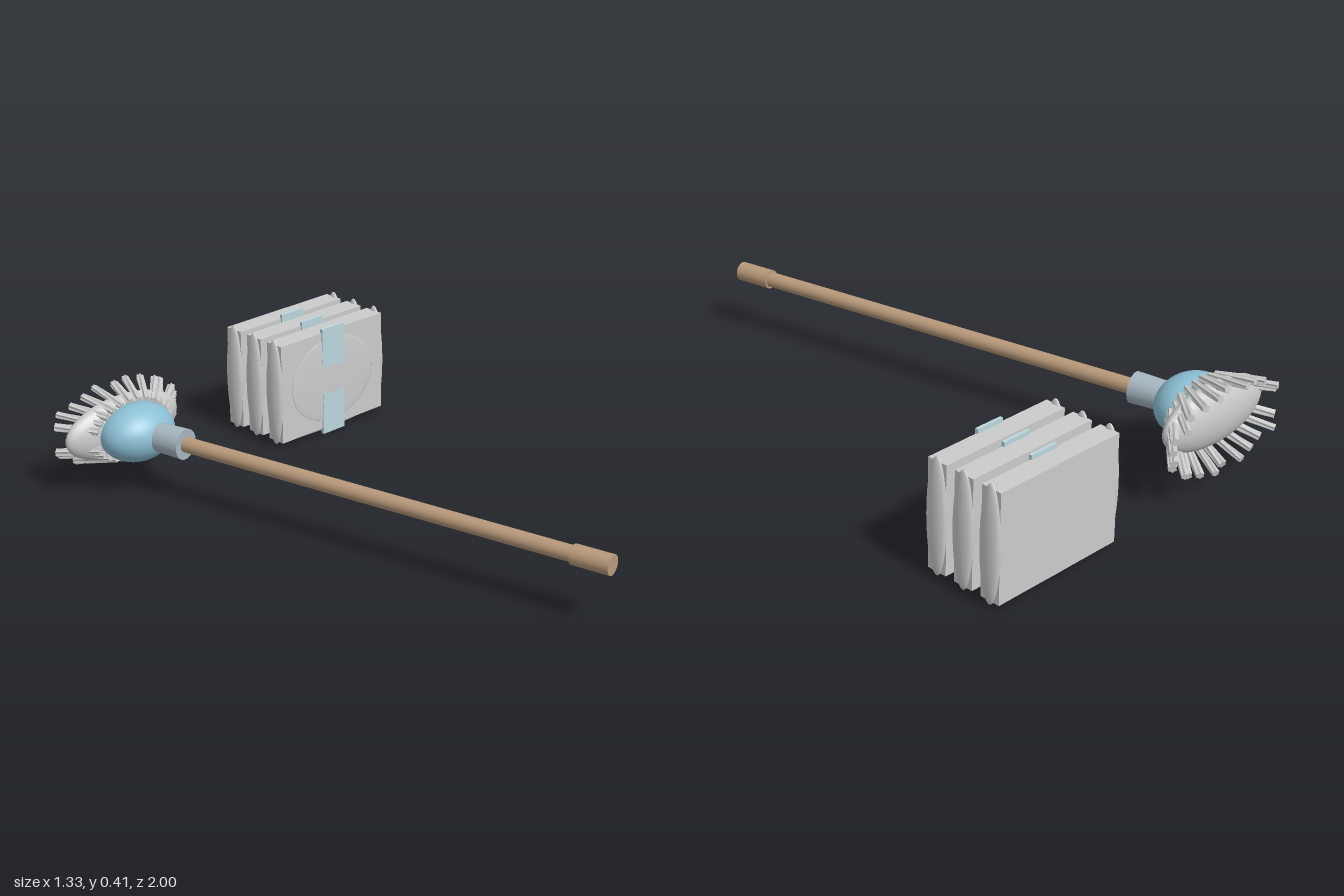
import * as THREE from 'three';

const mat = (color) => new THREE.MeshStandardMaterial({ color });
const grey = mat(0xcccccc), wood = mat(0xb8997a), blue = mat(0x8cbfd4), collarBlue = mat(0xa6b6c0), labelBlue = mat(0xbcd6de);

function add(parent, name, geometry, material, x = 0, y = 0, z = 0) {
  const mesh = new THREE.Mesh(geometry, material);
  mesh.name = name;
  mesh.position.set(x, y, z);
  parent.add(mesh);
  return mesh;
}

const ellipsoid = (rx, ry, rz) => new THREE.SphereGeometry(1, 40, 24).scale(rx, ry, rz);

// Cylinder running between two points
function rod(parent, name, a, b, rA, rB, material, sides = 28) {
  const dir = b.clone().sub(a);
  const mesh = add(parent, name, new THREE.CylinderGeometry(rB, rA, dir.length(), sides), material);
  mesh.position.copy(a).addScaledVector(dir, 0.5);
  mesh.quaternion.setFromUnitVectors(new THREE.Vector3(0, 1, 0), dir.normalize());
  return mesh;
}

// Ribbed, slightly twisted strand along +z from the origin
function strandGeometry(radius, length) {
  const shape = new THREE.Shape();
  const n = 12;
  for (let i = 0; i < n; i++) {
    const a = (i / n) * Math.PI * 2, r = radius * (i % 2 ? 0.72 : 1);
    if (i) shape.lineTo(r * Math.cos(a), r * Math.sin(a));
    else shape.moveTo(r, 0);
  }
  const g = new THREE.ExtrudeGeometry(shape, { depth: length, steps: 6, bevelEnabled: false });
  const p = g.attributes.position;
  for (let i = 0; i < p.count; i++) {
    const t = (p.getZ(i) / length) * 0.6, x = p.getX(i), y = p.getY(i);
    p.setXY(i, x * Math.cos(t) - y * Math.sin(t), x * Math.sin(t) + y * Math.cos(t));
  }
  g.computeVertexNormals();
  return g;
}

function createMop() {
  const mop = new THREE.Group();
  mop.name = 'mop';
  const Y = 0.212;
  const tip = new THREE.Vector3(-0.044, Y, 0.993);
  const neck = new THREE.Vector3(-0.395, Y, -0.7);
  const along = (t) => tip.clone().lerp(neck, t);

  // Pole, grip and collar share one slanted axis
  rod(mop, 'pole', along(0.02), along(0.96), 0.027, 0.027, wood);
  rod(mop, 'grip', tip, along(0.077), 0.034, 0.034, wood);
  rod(mop, 'collar', along(0.94), along(1.02), 0.054, 0.05, collarBlue);

  // Domed head, open toward the back where the pad fills it
  const dome = new THREE.SphereGeometry(1, 48, 24, 0, Math.PI * 2, 0, 1.85).rotateX(Math.PI / 2).scale(0.14, 0.102, 0.112);
  add(mop, 'headDome', dome, blue, -0.42, Y, -0.802).material.side = THREE.DoubleSide;
  add(mop, 'headPad', ellipsoid(0.24, 0.11, 0.058), grey, -0.42, Y, -0.885);

  // Ring of strands splaying backward
  const strands = new THREE.Group();
  strands.name = 'strands';
  mop.add(strands);
  const count = 26;
  for (let i = 0; i < count; i++) {
    const a = ((i + 0.5) / count) * Math.PI * 2;
    const c = Math.cos(a), s = Math.sin(a);
    if (c < -0.97) continue; // gap at the far end of the pad
    const wobble = Math.sin(i * 2.4);
    const base = new THREE.Vector3(-0.42 + 0.152 * c, Y + 0.1 * s, -0.83);
    const end = new THREE.Vector3(-0.39 + 0.275 * c, Y - 0.012 + 0.135 * s, -0.975 + 0.015 * wobble);
    const strand = add(strands, 'strand', strandGeometry(0.0145 + 0.0015 * wobble, base.distanceTo(end)), grey);
    strand.position.copy(base);
    strand.lookAt(end);
  }
  return mop;
}

function createPacket() {
  const packet = new THREE.Group();
  packet.name = 'refillPacket';
  const Y = 0.208, half = 0.037;
  add(packet, 'packetBody', new THREE.BoxGeometry(0.5, 0.374, half * 2), grey, 0, Y, 0);
  add(packet, 'frontBulge', ellipsoid(0.2, 0.162, 0.006), grey, 0, Y, half);
  add(packet, 'bottomBulge', ellipsoid(0.25, 0.018, 0.032), grey, 0, 0.02, 0);
  for (const side of [-1, 1])
    add(packet, 'endSeal', ellipsoid(0.02, 0.202, 0.04), grey, side * 0.25, Y + 0.003, 0);
  // Band across the front, with the bulge rising through its middle
  add(packet, 'band', new THREE.BoxGeometry(0.106, 0.41, 0.0112), labelBlue, 0, 0.205, half);
  return packet;
}

export function createModel() {
  const model = new THREE.Group();
  model.name = 'mopSet';
  model.add(createMop());
  // Three packets standing in a row
  for (let i = 0; i < 3; i++) {
    const packet = createPacket();
    packet.position.set(0.4, 0, -0.726 - i * 0.108);
    model.add(packet);
  }
  return model;
}
